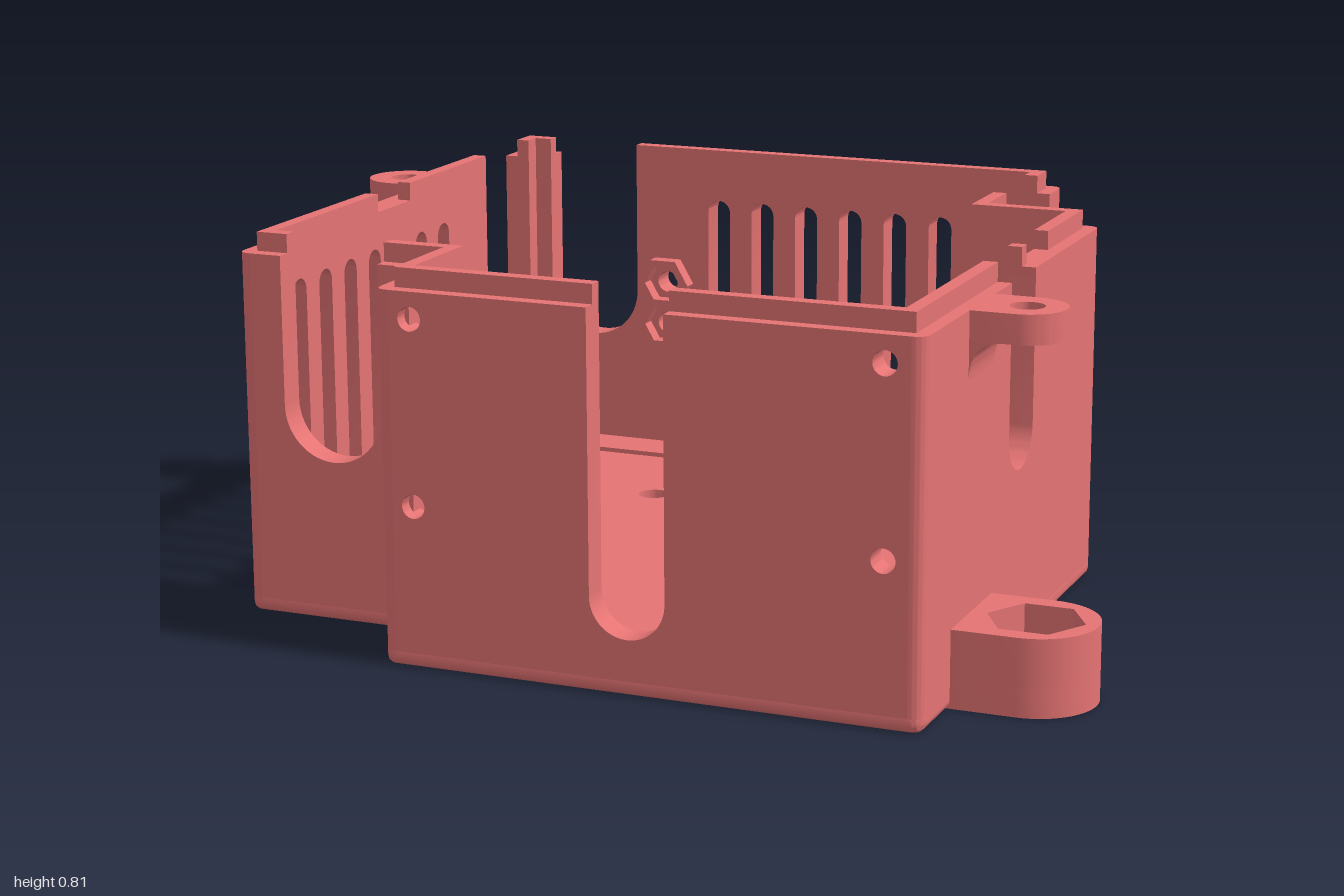
import * as THREE from 'three';
import { toCreasedNormals } from 'three/addons/utils/BufferGeometryUtils.js';

const T = 0.06, RIM = 0.77, LIP_TOP = 0.81, R = 0.03, FLOOR = 0.09;
const material = new THREE.MeshStandardMaterial({ color: 0xe57373 });

function add(parent, name, geometry, x = 0, y = 0, z = 0) {
  const mesh = new THREE.Mesh(geometry, material);
  mesh.name = name;
  mesh.position.set(x, y, z);
  parent.add(mesh);
  return mesh;
}

function extrude(shape, depth, options = {}) {
  const geo = new THREE.ExtrudeGeometry(shape, { depth, bevelEnabled: false, curveSegments: 14, ...options });
  return toCreasedNormals(geo, 0.6);
}

// Plan shapes are drawn as (x, -z) and rise along y
const plan = (shape, h, options) => extrude(shape, h, options).rotateX(-Math.PI / 2);

const circle = (x, y, r) => new THREE.Path().absarc(x, y, r, 0, Math.PI * 2, false);

function hexagon(x, y, r, phase = 0, Kind = THREE.Path) {
  const pts = [];
  for (let i = 0; i < 6; i++) {
    const a = phase + i * Math.PI / 3;
    pts.push(new THREE.Vector2(x + r * Math.cos(a), y + r * Math.sin(a)));
  }
  const path = new Kind(pts);
  path.closePath();
  return path;
}

// Upright rounded slot
function slot(x, y0, y1, r) {
  const p = new THREE.Path();
  p.absarc(x, y1 - r, r, 0, Math.PI, false);
  p.absarc(x, y0 + r, r, Math.PI, Math.PI * 2, false);
  p.closePath();
  return p;
}

// Stepped case footprint, inset by d, with rounded corners
function footprint(d) {
  const pts = [
    [-0.83 + d, -0.66 + d], [0.53 - d, -0.66 + d], [0.53 - d, -0.235 + d], [0.74 - d, -0.235 + d],
    [0.74 - d, 0.91 - d], [-0.40 + d, 0.91 - d], [-0.40 + d, 0.70 - d], [-0.83 + d, 0.70 - d],
  ].map(([x, z]) => new THREE.Vector2(x, -z));
  const s = new THREE.Shape();
  pts.forEach((p, i) => {
    const before = pts[(i + 7) % 8].clone().sub(p).setLength(R).add(p);
    const after = pts[(i + 1) % 8].clone().sub(p).setLength(R).add(p);
    i ? s.lineTo(before.x, before.y) : s.moveTo(before.x, before.y);
    s.quadraticCurveTo(p.x, p.y, after.x, after.y);
  });
  s.closePath();
  return s;
}

// Wall along x or z from a to b. out: side (+1/-1) the outside is on.
// notches: [centre, centre height, radius]; slots: centres; holes: [centre, height]; gaps: lip only
function wall(parent, name, axis, a, b, start, out, { notches = [], slots = [], holes = [], gaps = [] } = {}) {
  const g = new THREE.Group();
  g.name = name;
  parent.add(g);
  const k = axis === 'x' ? 1 : -1;
  const [lo, hi] = k > 0 ? [a, b] : [-b, -a];
  const s = new THREE.Shape();
  s.moveTo(lo, 0.015);
  s.lineTo(hi, 0.015);
  s.lineTo(hi, RIM);
  notches.map(([c, y, r]) => [c * k, y, r]).sort((p, q) => q[0] - p[0]).forEach(([c, y, r]) => {
    s.lineTo(c + r, RIM);
    s.lineTo(c + r, y);
    s.absarc(c, y, r, 0, Math.PI, true);
    s.lineTo(c - r, RIM);
  });
  s.lineTo(lo, RIM);
  s.closePath();
  slots.forEach(c => s.holes.push(slot(c * k, 0.205, 0.69, 0.0275)));
  holes.forEach(([c, y]) => s.holes.push(circle(c * k, y, 0.025)));
  add(g, 'panel', extrude(s, T));

  // Raised lip along the inner half, broken at the openings
  const cuts = [...notches.map(([c, , r]) => [c * k - r, c * k + r]),
    ...gaps.map(([p, q]) => [Math.min(p * k, q * k), Math.max(p * k, q * k)])].sort((p, q) => p[0] - q[0]);
  let from = lo;
  [...cuts, [hi, hi]].forEach(([p, q]) => {
    const h = LIP_TOP - RIM;
    if (p > from) {
      add(g, 'lip', new THREE.BoxGeometry(p - from, h, T / 2), (p + from) / 2, RIM + h / 2, out > 0 ? T / 4 : T * 0.75);
    }
    from = q;
  });

  // Hexagonal nut holders behind the screw holes
  holes.forEach(([c, y]) => {
    const ring = hexagon(c * k, y, 0.065, 0, THREE.Shape);
    ring.holes.push(hexagon(c * k, y, 0.045));
    add(g, 'nutHolder', extrude(ring, 0.035), 0, 0, out > 0 ? -0.035 : T);
  });
  if (k > 0) g.position.z = start;
  else {
    g.rotation.y = Math.PI / 2;
    g.position.x = start;
  }
}

// Rounded mounting ear whose straight end meets the wall at distance len
function earShape(r, len, hole) {
  const s = new THREE.Shape();
  s.moveTo(-len, -r);
  s.lineTo(0, -r);
  s.absarc(0, 0, r, -Math.PI / 2, Math.PI / 2, false);
  s.lineTo(-len, r);
  s.closePath();
  s.holes.push(hole);
  return s;
}

function ear(parent, name, x, z, angle) {
  const g = new THREE.Group();
  g.name = name;
  g.position.set(x, 0, z);
  g.rotation.y = angle;
  parent.add(g);
  return g;
}

function lowEar(parent, x, z, angle) {
  const g = ear(parent, 'lowMountingEar', x, z, angle);
  add(g, 'earBase', plan(earShape(0.127, 0.15, circle(0, 0, 0.06)), 0.06));
  add(g, 'earNutPocket', plan(earShape(0.127, 0.15, hexagon(0, 0, 0.1, angle)), 0.10), 0, 0.06);
}

function highEar(parent, x, z, angle, r, len) {
  const g = ear(parent, 'highMountingEar', x, z, angle);
  add(g, 'earPlate', plan(earShape(r, len + 0.01, circle(0, 0, 0.035)), 0.06), 0, 0.71);
  const s = new THREE.Shape();
  s.moveTo(-len, 0.71);
  s.lineTo(-len, 0.63);
  s.quadraticCurveTo(-len, 0.71, -len + 0.07, 0.71);
  s.closePath();
  add(g, 'earFillet', extrude(s, 2 * r), 0, 0, -r);
}

export function createModel() {
  const model = new THREE.Group();
  model.name = 'electronicsCase';

  // Floor: nut pockets below, screw holes above, shallow channel on top
  const screws = [[-0.27, -0.155], [-0.325, 0.195], [0.59, 0.195], [-0.325, 0.41], [0.59, 0.41], [-0.27, 0.765]];
  const bottom = footprint(0), middle = footprint(R), top = footprint(R);
  screws.forEach(([x, z]) => {
    bottom.holes.push(hexagon(x, -z, 0.055));
    middle.holes.push(circle(x, -z, 0.035));
    top.holes.push(circle(x, -z, 0.035));
  });
  top.holes.push(new THREE.Path([[-0.78, 0.395], [0.48, 0.395], [0.48, 0.49], [-0.78, 0.49]]
    .map(p => new THREE.Vector2(...p))));
  add(model, 'floorBottom', plan(bottom, 0.015, {
    bevelEnabled: true, bevelThickness: 0.015, bevelSize: 0.015, bevelOffset: -0.015, bevelSegments: 3,
  }), 0, 0.015);
  add(model, 'floorMiddle', plan(middle, 0.035), 0, 0.045);
  add(model, 'floorTop', plan(top, 0.01), 0, 0.08);

  // Raised plus and minus marks on the floor
  add(model, 'plusMark', new THREE.BoxGeometry(0.06, 0.03, 0.435), -0.57, FLOOR, 0.303);
  add(model, 'plusMark', new THREE.BoxGeometry(0.23, 0.03, 0.06), -0.57, FLOOR, 0.303);
  add(model, 'minusMark', new THREE.BoxGeometry(0.06, 0.04, 0.08), -0.23, FLOOR, -0.285);

  // Walls
  const row = first => Array.from({ length: 7 }, (_, i) => first + 0.11 * i);
  const cable = [-0.6175, 0.455, 0.1125], pipe = [-0.445, 0.195, 0.115], finger = [0.05, 0.2];
  wall(model, 'backWall', 'x', -0.80, 0.50, -0.66, -1,
    { notches: [cable], slots: row(-0.2925), holes: [[-0.425, 0.485], [-0.425, 0.385]] });
  wall(model, 'backLeftWall', 'z', -0.63, -0.175, 0.47, 1, { notches: [pipe] });
  wall(model, 'backStepWall', 'x', 0.47, 0.71, -0.235, -1);
  wall(model, 'leftWall', 'z', -0.205, 0.88, 0.68, 1, { notches: [[0.31, 0.45, 0.08]], gaps: [finger] });
  wall(model, 'frontWall', 'x', -0.37, 0.71, 0.85, 1, {
    notches: [[0.135, 0.195, 0.08]],
    holes: [[-0.325, 0.715], [0.66, 0.715], [-0.325, 0.335], [0.66, 0.335]],
  });
  wall(model, 'frontStepWall', 'z', 0.64, 0.88, -0.40, -1);
  wall(model, 'frontRightWall', 'x', -0.80, -0.34, 0.64, 1, { notches: [cable] });
  wall(model, 'rightWall', 'z', -0.63, 0.67, -0.83, -1, {
    notches: [pipe], slots: row(-0.108), gaps: [finger], holes: [[-0.25, 0.22], [-0.25, 0.12]],
  });

  // Rounded outer corners, and fillets in the two inward corners
  const corners = [[-0.83, -0.66, 1, 1], [0.53, -0.66, -1, 1], [0.74, -0.235, -1, 1], [0.74, 0.91, -1, -1],
    [-0.40, 0.91, 1, -1], [-0.83, 0.70, 1, -1], [0.53, -0.235, 1, -1, true], [-0.40, 0.70, -1, 1, true]];
  corners.forEach(([x, z, sx, sz, inward]) => {
    const s = new THREE.Shape();
    const far = inward ? [x, -z] : [x + sx * R, -(z + sz * R)];
    s.moveTo(...far);
    s.lineTo(x + sx * R, -z);
    if (inward) s.quadraticCurveTo(x + sx * R * 0.3, -(z + sz * R * 0.3), x, -(z + sz * R));
    else s.quadraticCurveTo(x, -z, x, -(z + sz * R));
    s.closePath();
    add(model, inward ? 'cornerFillet' : 'cornerPost', plan(s, RIM - 0.015), 0, 0.015);
  });

  // Mounting ears
  lowEar(model, 0.872, 0.615, 0);
  lowEar(model, -0.28, -0.785, Math.PI / 2);
  highEar(model, 0.83, 0.578, 0, 0.08, 0.09);
  highEar(model, -0.915, -0.21, Math.PI, 0.085, 0.085);
  return model;
}
